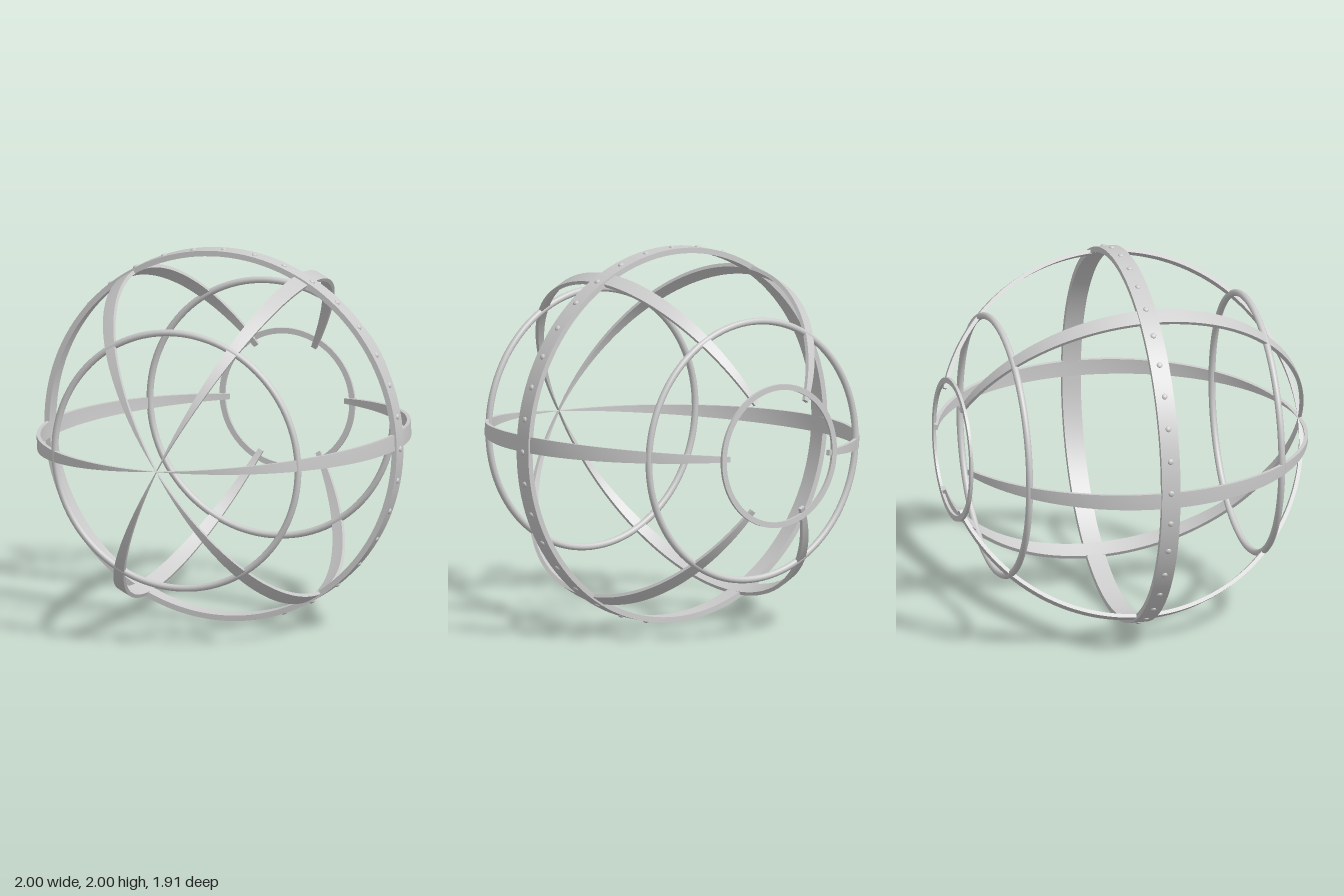
import * as THREE from 'three';

const CENTRE_Z = -0.03; // plane of the main band, centre of the sphere
const material = new THREE.MeshStandardMaterial({ color: 0xcccccc });

function addMesh(parent, name, geometry) {
  const mesh = new THREE.Mesh(geometry, material);
  mesh.name = name;
  parent.add(mesh);
  return mesh;
}

// Bends a subdivided unit box: map(u, v, w) gets 0..1 coordinates, returns a point
function bentBox(segU, segV, segW, map) {
  const geometry = new THREE.BoxGeometry(1, 1, 1, segU, segV, segW);
  const p = geometry.attributes.position;
  for (let i = 0; i < p.count; i++) {
    p.setXYZ(i, ...map(p.getX(i) + 0.5, p.getY(i) + 0.5, p.getZ(i) + 0.5));
  }
  geometry.computeVertexNormals();
  return geometry;
}

// Ring of rectangular section around the z axis
function flatRing(inner, outer, z0, z1) {
  const lerp = THREE.MathUtils.lerp;
  return bentBox(128, 1, 1, (u, v, w) => {
    const a = u * Math.PI * 2;
    const r = lerp(inner, outer, w);
    return [r * Math.cos(a), r * Math.sin(a), lerp(z0, z1, v)];
  });
}

// Curved slat: a 5 degree sector of a spherical shell, pointed at the front pole
function ribGeometry() {
  const width = THREE.MathUtils.degToRad(5);
  const end = THREE.MathUtils.degToRad(160.5);
  return bentBox(2, 1, 64, (u, v, w) => {
    const phi = u * width;
    const theta = 0.003 + w * (end - 0.003);
    const r = 0.962 + v * 0.02;
    const s = r * Math.sin(theta);
    return [s * Math.cos(phi), s * Math.sin(phi), r * Math.cos(theta)];
  });
}

export function createModel() {
  const model = new THREE.Group();
  model.name = 'sphericalCage';

  const cage = new THREE.Group();
  cage.name = 'cage';
  cage.position.set(0, 1, CENTRE_Z);
  model.add(cage);

  // Wide main band
  addMesh(cage, 'mainBand', flatRing(0.962, 0.991, -0.05, 0.05));

  // Domed rivets around the band
  const rivets = new THREE.Group();
  rivets.name = 'rivets';
  cage.add(rivets);
  const rivet = new THREE.SphereGeometry(0.016, 12, 5, 0, Math.PI * 2, 0, Math.PI / 2);
  rivet.scale(1, 0.6, 1);
  for (let i = 0; i < 36; i++) {
    const a = (i * Math.PI) / 18;
    const mesh = addMesh(rivets, 'rivet', rivet);
    mesh.position.set(0.9905 * Math.cos(a), 0.9905 * Math.sin(a), 0);
    mesh.rotation.z = a - Math.PI / 2;
  }

  // Six tapering ribs meeting at the front pole
  const rib = ribGeometry();
  for (let i = 0; i < 6; i++) {
    addMesh(cage, 'rib', rib).rotation.z = (i * Math.PI) / 3;
  }

  // Round hoops in front of and behind the band
  const hoop = new THREE.TorusGeometry(0.684, 0.018, 14, 112);
  addMesh(cage, 'frontHoop', hoop).position.z = 0.686;
  addMesh(cage, 'rearHoop', hoop).position.z = -0.686;

  // Small flat ring framing the rear opening
  addMesh(cage, 'rearOpeningRing', flatRing(0.35, 0.38, -0.922, -0.907));

  return model;
}
